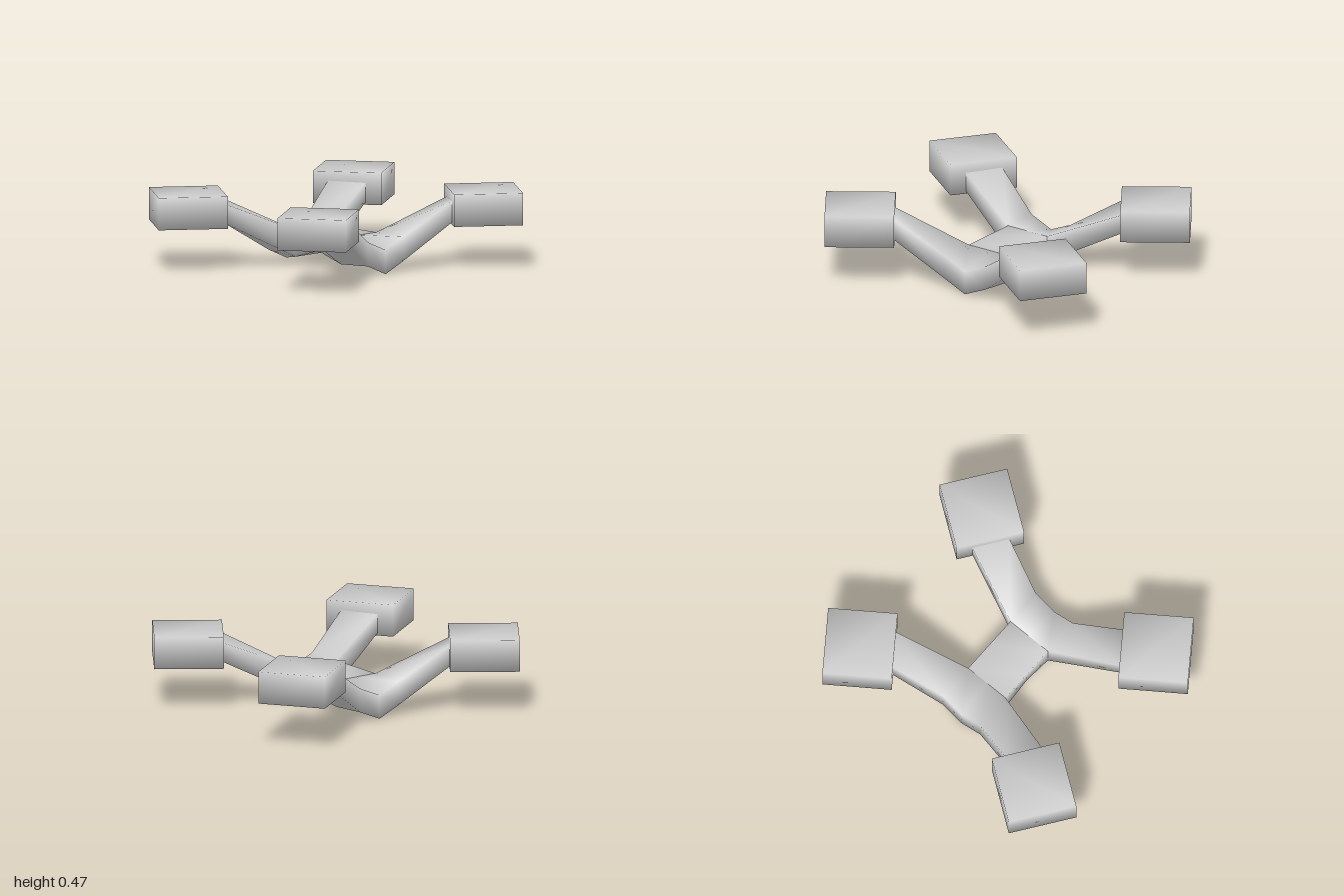
import * as THREE from 'three';
import { mergeVertices } from 'three/addons/utils/BufferGeometryUtils.js';

// Smooth skin over equal-sized rings of [x, y, z] points
function loft(rings) {
  const n = rings[0].length, index = [];
  for (let r = 0; r < rings.length - 1; r++) {
    for (let i = 0; i < n; i++) {
      const a = r * n + i, b = r * n + (i + 1) % n;
      index.push(a, a + n, b, b, a + n, b + n);
    }
  }
  const geo = new THREE.BufferGeometry();
  geo.setAttribute('position', new THREE.Float32BufferAttribute(rings.flat(2), 3));
  geo.setIndex(index);
  geo.computeVertexNormals();
  return geo;
}

// Box with shared corners, so its shading is smooth
function smoothBox(w, h, d) {
  const geo = new THREE.BoxGeometry(w, h, d);
  geo.deleteAttribute('normal');
  geo.deleteAttribute('uv');
  const merged = mergeVertices(geo);
  merged.computeVertexNormals();
  return merged;
}

export function createModel() {
  const model = new THREE.Group();
  model.name = 'fourArmFrame';
  const grey = new THREE.MeshStandardMaterial({ color: 0xcccccc });
  grey.name = 'light grey';

  const add = (name, geo) => {
    const mesh = new THREE.Mesh(geo, grey);
    mesh.name = name;
    model.add(mesh);
    return mesh;
  };

  // Central bridge with an arched underside
  const bridgeRing = (z, bottom) => [
    [0.15, 0.215, z], [0.15, bottom, z], [-0.15, bottom, z], [-0.15, 0.215, z],
  ];
  add('bridge', loft([bridgeRing(-0.2, 0.05), bridgeRing(0, 0.11), bridgeRing(0.2, 0.05)]));

  // Pair of arms: outer bottom, outer top, inner top, inner bottom at each station
  const middle = [[0, 0, 0.44], [0, 0.15, 0.44], [0, 0.215, 0.2], [0, 0.05, 0.2]];
  const shoulder = [[0.15, 0.065, 0.44], [0.15, 0.215, 0.44], [0.15, 0.215, 0.2], [0.15, 0.05, 0.2]];
  const tip = [[0.46, 0.285, 0.552], [0.46, 0.415, 0.552], [0.6, 0.41, 0.363], [0.6, 0.29, 0.363]];
  const mirror = (ring) => ring.map(([x, y, z]) => [-x, y, z]);
  const armGeo = loft([mirror(tip), mirror(shoulder), middle, shoulder, tip]);
  add('frontArms', armGeo);
  add('backArms', armGeo).rotation.y = Math.PI;

  // Turned block at the end of each arm
  const blockGeo = smoothBox(0.427, 0.2, 0.427);
  for (const sz of [1, -1]) {
    for (const sx of [1, -1]) {
      const block = add((sz > 0 ? 'front' : 'back') + (sx > 0 ? 'Left' : 'Right') + 'Block', blockGeo);
      block.position.set(0.7 * sx, 0.37, 0.577 * sz);
      block.rotation.y = -0.62 * sx * sz;
    }
  }
  return model;
}
